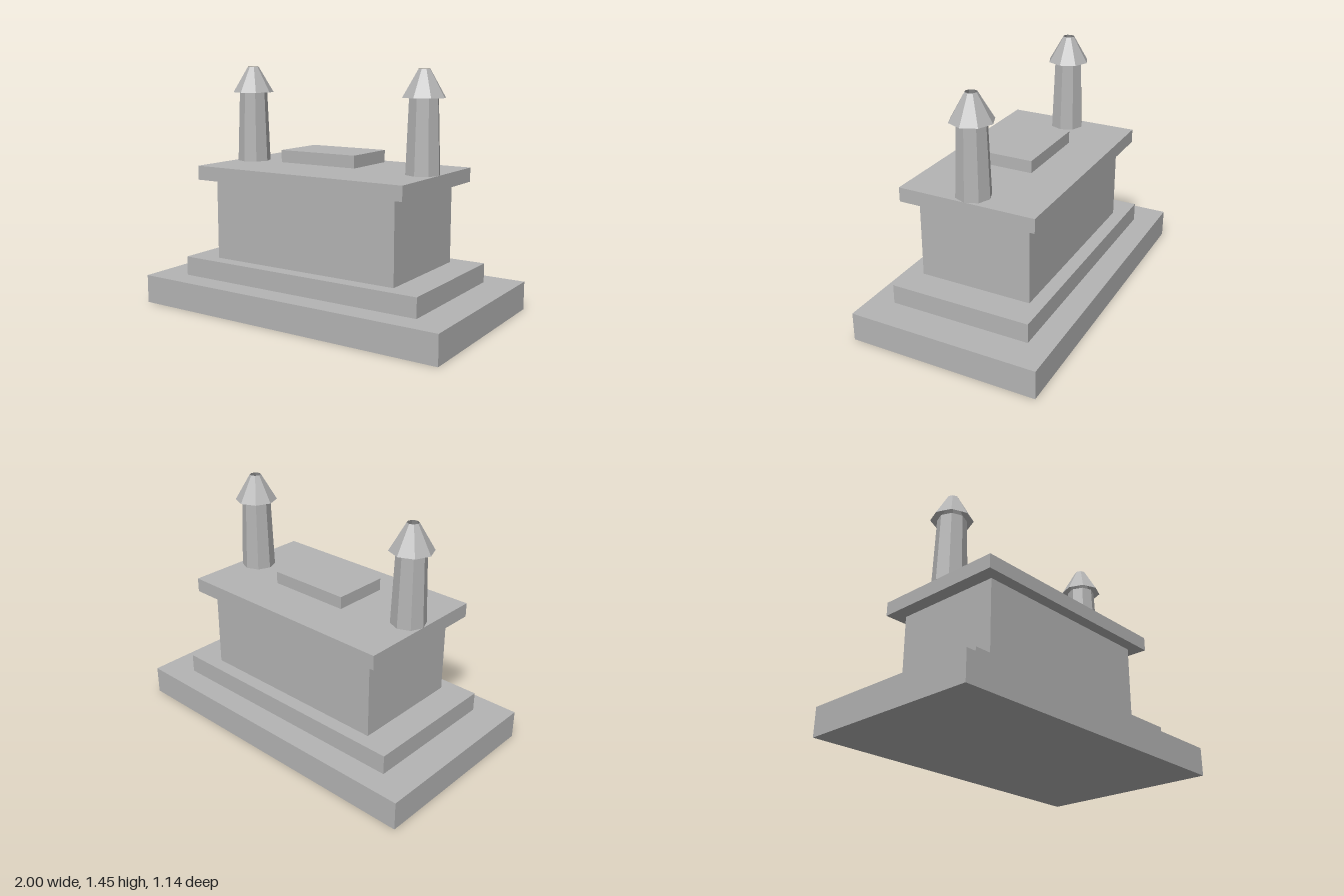
import * as THREE from 'three';

export function createModel() {
  const group = new THREE.Group();
  group.name = 'monument';
  const stone = new THREE.MeshStandardMaterial({ color: 0xb4b4b4, flatShading: true, side: THREE.DoubleSide });
  stone.name = 'grey stone';

  // Rectangular slab between two heights, centred on the vertical axis
  const slab = (name, width, depth, bottom, top) => {
    const mesh = new THREE.Mesh(new THREE.BoxGeometry(width, top - bottom, depth), stone);
    mesh.position.y = (bottom + top) / 2;
    mesh.name = name;
    group.add(mesh);
  };
  slab('base', 2, 1.144, 0, 0.172);
  slab('step', 1.6, 0.854, 0.172, 0.288);
  slab('body', 1.23, 0.686, 0.288, 0.775);
  slab('cornice', 1.4, 0.83, 0.775, 0.86);
  slab('topPlate', 0.51, 0.342, 0.887, 0.96);

  // Open eight-sided tapered tube between two heights
  const tube = (name, rTop, rBottom, bottom, top) => {
    const mesh = new THREE.Mesh(new THREE.CylinderGeometry(rTop, rBottom, top - bottom, 8, 1, true), stone);
    mesh.position.y = (bottom + top) / 2;
    mesh.name = name;
    return mesh;
  };
  // A tower with a flared, open-topped cap at each end
  for (const [name, x] of [['rightTower', -0.6], ['leftTower', 0.6]]) {
    const tower = new THREE.Group();
    tower.name = name;
    tower.add(tube('shaft', 0.086, 0.102, 0.86, 1.288), tube('cap', 0.034, 0.126, 1.288, 1.445));
    tower.position.x = x;
    group.add(tower);
  }
  return group;
}
